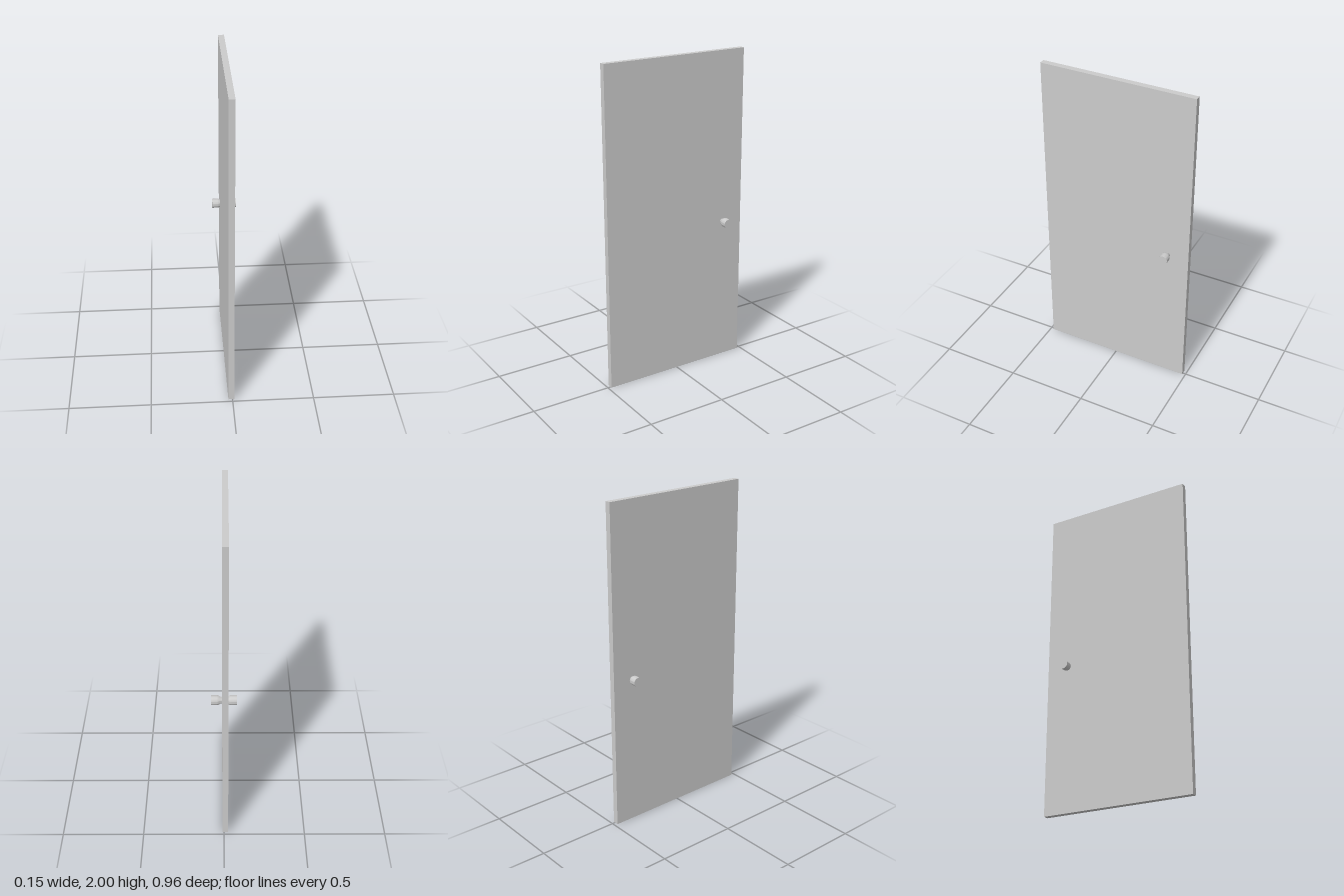
import * as THREE from 'three';
import { toCreasedNormals } from 'three/addons/utils/BufferGeometryUtils.js';

export function createModel() {
  const model = new THREE.Group();
  model.name = 'door';
  const material = new THREE.MeshStandardMaterial({ color: 0xcccccc });

  // Plain slab
  const panel = new THREE.Mesh(new THREE.BoxGeometry(0.036, 2, 0.96), material);
  panel.name = 'doorPanel';
  panel.position.set(-0.0075, 1, 0);
  model.add(panel);

  // Knob profile as [radius, distance from the axis centre]: flared neck, straight grip, flat end
  const profile = [
    [0.016, 0], [0.018, 0.0105], [0.0235, 0.0255], [0.028, 0.035],
    [0.029, 0.041], [0.029, 0.076], [0, 0.076],
  ].map(([r, d]) => new THREE.Vector2(r, d));
  const knobGeometry = toCreasedNormals(new THREE.LatheGeometry(profile, 32), Math.PI / 5);

  // One knob on each face
  for (const side of [1, -1]) {
    const knob = new THREE.Mesh(knobGeometry, material);
    knob.name = side > 0 ? 'leftKnob' : 'rightKnob';
    knob.rotation.z = -side * Math.PI / 2;
    knob.position.set(0, 0.925, -0.342);
    model.add(knob);
  }
  return model;
}
